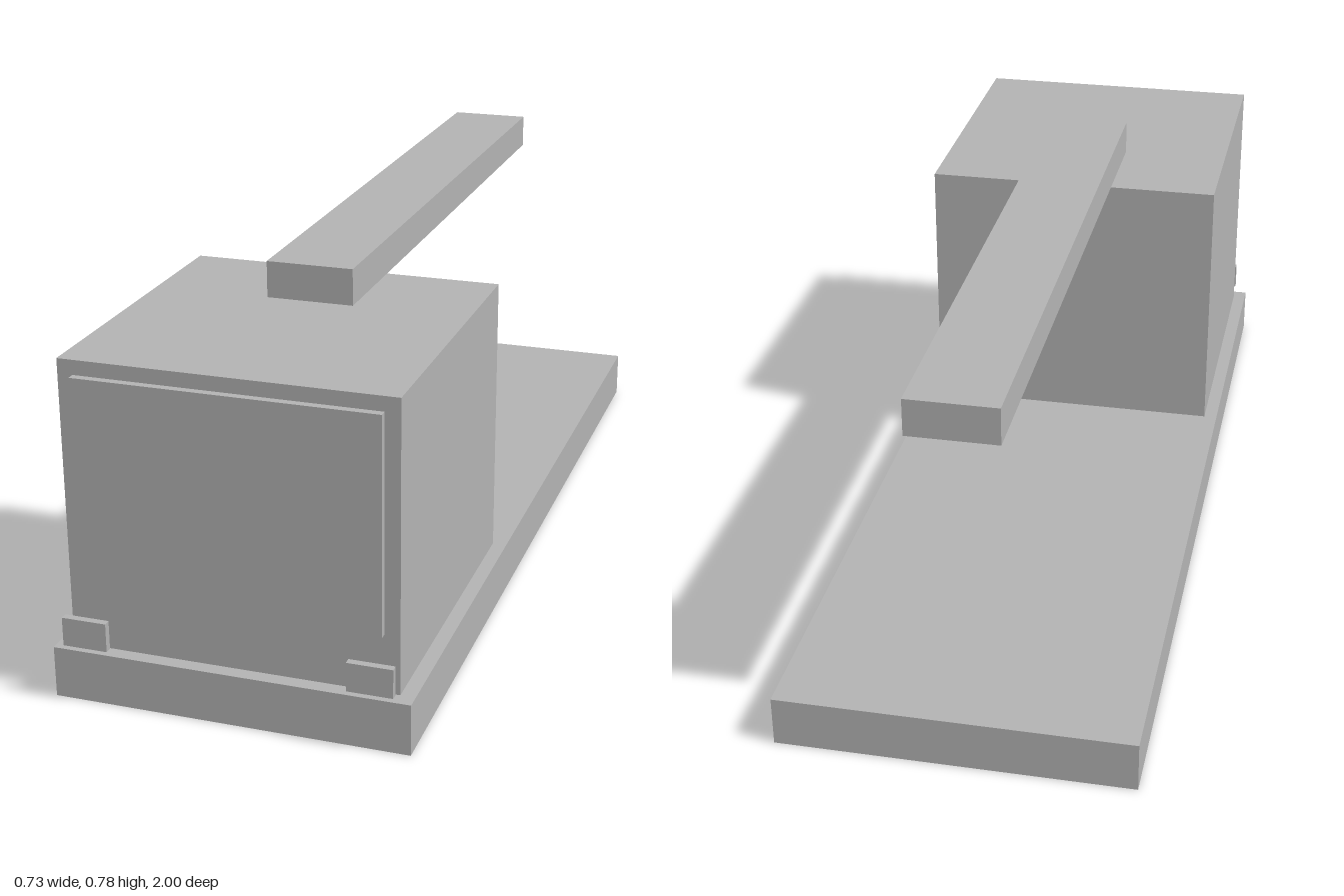
import * as THREE from 'three';

export function createModel() {
  const model = new THREE.Group();
  model.name = 'craneTruck';

  const bodyGrey = new THREE.MeshStandardMaterial({ color: 0xb2b2b2 });
  bodyGrey.name = 'body grey';

  // Box given by its lower and upper limit along each axis
  function addBox(name, [x0, x1], [y0, y1], [z0, z1]) {
    const mesh = new THREE.Mesh(new THREE.BoxGeometry(x1 - x0, y1 - y0, z1 - z0), bodyGrey);
    mesh.name = name;
    mesh.position.set((x0 + x1) / 2, (y0 + y1) / 2, (z0 + z1) / 2);
    model.add(mesh);
  }

  const deckTop = 0.107;
  const cabTop = 0.703;
  const cabFront = 0.955;
  const deckFront = 0.985;

  // Flat bed, cab and the boom resting on the cab roof
  addBox('chassis', [-0.366, 0.366], [0, deckTop], [-1, deckFront]);
  addBox('cab', [-0.336, 0.336], [deckTop, cabTop], [0.27, cabFront]);
  addBox('boom', [-0.092, 0.092], [cabTop, 0.78], [-0.938, 0.497]);

  // Windscreen panel on the front of the cab
  addBox('windscreen', [-0.305, 0.305], [0.23, 0.673], [cabFront, 0.971]);

  // Pair of headlights ahead of the cab
  addBox('leftHeadlight', [0.244, 0.336], [0.124, 0.184], [deckFront, 1]);
  addBox('rightHeadlight', [-0.336, -0.244], [0.124, 0.184], [deckFront, 1]);

  return model;
}
